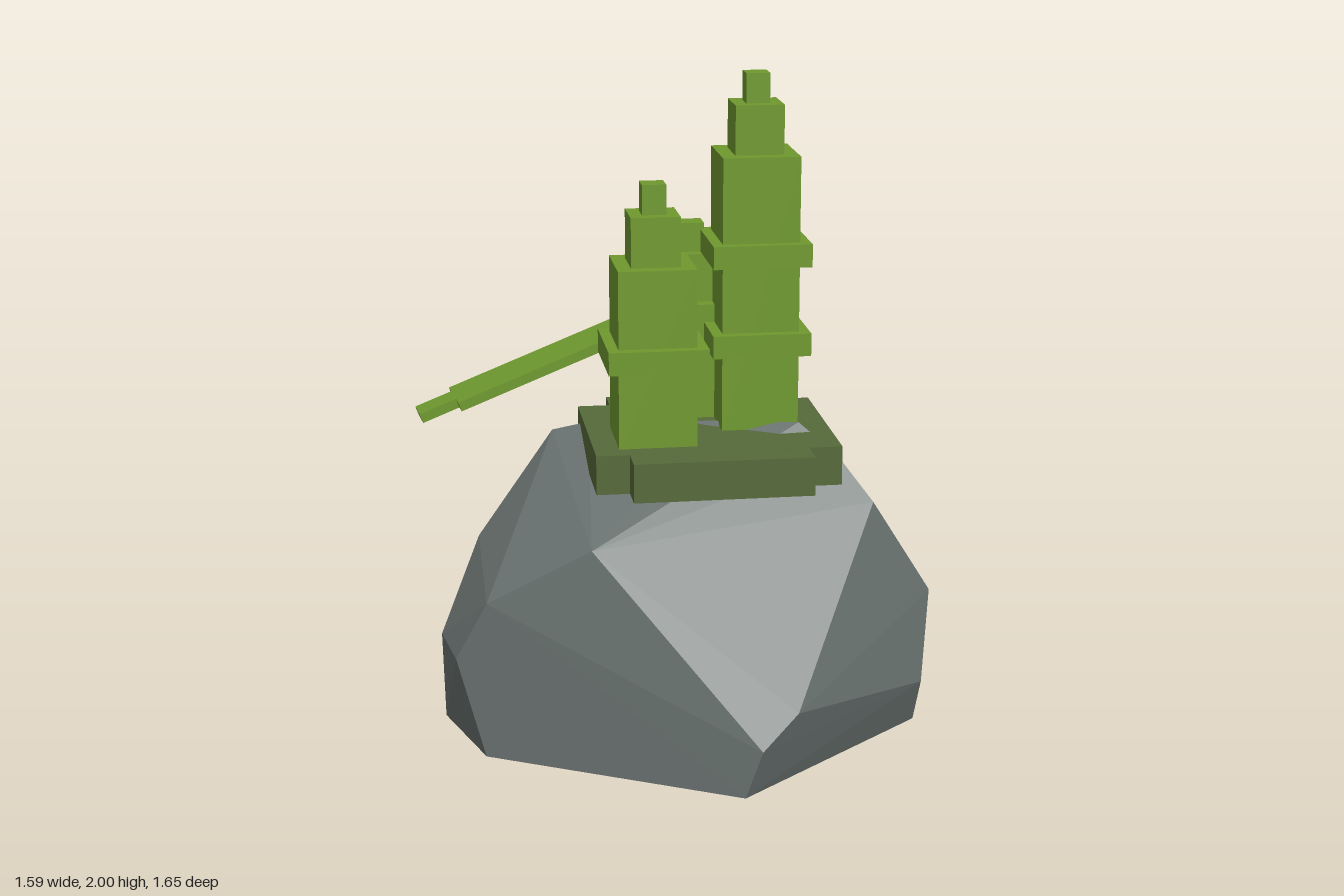
import * as THREE from 'three';
import { ConvexGeometry } from 'three/addons/geometries/ConvexGeometry.js';

const mat = (name, color) => {
  const m = new THREE.MeshStandardMaterial({ color, flatShading: true });
  m.name = name;
  return m;
};

const TURN = 0.204; // the towers and plinth share one small turn about y

export function createModel() {
  const leaf = mat('leaf green', 0x6f992e);
  const olive = mat('dark olive', 0x566a3a);
  const stone = mat('stone grey', 0x6a7371);
  const model = new THREE.Group();
  model.name = 'rockWithTowers';

  const box = (parent, name, material, size, pos) => {
    const mesh = new THREE.Mesh(new THREE.BoxGeometry(...size), material);
    mesh.name = name;
    mesh.position.set(...pos);
    parent.add(mesh);
    return mesh;
  };

  // Boulder: convex hull of its corners
  const corners = [
    // base outline
    [0.25, 0, 0.81], [-0.54, 0, 0.57], [-0.71, 0, 0.27], [-0.62, 0, -0.05],
    [-0.24, 0, -0.48], [-0.05, 0, -0.5], [0.58, 0, -0.22], [0.75, 0, 0.1], [0.75, 0, 0.2],
    // lower ring
    [0.3, 0.15, 0.82], [0.4, 0.24, 0.74], [0.77, 0.15, 0.26], [0.79, 0.42, 0.17],
    [0.79, 0.31, 0], [0.77, 0.19, -0.04], [0.68, 0.19, -0.21], [0.54, 0.38, -0.34],
    [-0.07, 0.3, -0.5], [-0.2, 0.33, -0.495], [-0.53, 0.35, -0.28], [-0.65, 0.3, -0.1],
    [-0.71, 0.29, 0.18], [-0.71, 0.29, 0.31], [-0.63, 0.3, 0.54], [-0.53, 0.49, 0.57],
    // upper ring
    [-0.21, 0.68, 0.62], [0.61, 0.74, 0.29], [0.5, 0.86, 0.21], [0.36, 0.61, -0.35],
    [-0.08, 0.5, -0.45], [-0.53, 0.6, -0.21], [-0.46, 0.72, -0.19], [-0.62, 0.54, 0.1],
    // summit
    [0.38, 0.945, 0.15], [0.12, 0.93, 0.1], [0.33, 0.83, -0.14],
    [-0.4, 0.85, -0.04], [-0.28, 0.89, 0.0],
  ].map((c) => new THREE.Vector3(...c));
  const boulder = new THREE.Mesh(new ConvexGeometry(corners), stone);
  boulder.name = 'boulder';
  model.add(boulder);

  // Plinth: two crossed slabs
  const plinth = new THREE.Group();
  plinth.name = 'plinth';
  plinth.position.set(0.097, 0.86, 0.123);
  plinth.rotation.y = TURN;
  box(plinth, 'wideSlab', olive, [0.74, 0.12, 0.54], [0, 0, 0]);
  box(plinth, 'deepSlab', olive, [0.54, 0.119, 0.73], [0, 0, 0]);
  model.add(plinth);

  // Stepped tower with optional bands
  const tower = (name, x, z, top, bands) => {
    const g = new THREE.Group();
    g.name = name;
    g.position.set(x, 0, z);
    g.rotation.y = TURN;
    [[0.235, 0.9, top], [0.148, top, top + 0.15], [0.072, top + 0.15, top + 0.24]]
      .forEach(([w, y0, y1], i) =>
        box(g, ['shaft', 'upperTier', 'tip'][i], leaf, [w, y1 - y0, w], [0, (y0 + y1) / 2, 0]));
    bands.forEach((y) => box(g, 'band', leaf, [0.3, 0.07, 0.3], [0, y, 0]));
    model.add(g);
  };
  tower('tallTower', 0.238, 0.035, 1.76, [1.19, 1.465]);
  tower('middleTower', -0.058, 0.25, 1.46, [1.19]);
  tower('shortTower', 0.035, -0.08, 1.28, []);

  // Sloping plank held off a tower by a short peg; it runs along the heading
  const plank = (name, x, y, z, dx, dz) => {
    const g = new THREE.Group();
    g.name = name;
    g.position.set(x, y, z);
    g.rotation.y = Math.atan2(dx, dz);
    box(g, 'peg', leaf, [0.06, 0.04, 0.12], [0, 0, 0.14]);
    const slope = new THREE.Group();
    slope.name = 'slopingPlank';
    slope.position.z = 0.18;
    slope.rotation.x = 0.35;
    box(slope, 'board', leaf, [0.178, 0.03, 0.605], [0, 0, 0.3025]);
    box(slope, 'boardEnd', leaf, [0.09, 0.03, 0.12], [0, 0, 0.665]);
    g.add(slope);
    model.add(g);
  };
  plank('tallTowerPlank', 0.238, 1.495, 0.035, -0.02, -1);
  plank('middleTowerPlank', -0.058, 1.325, 0.25, 0.09, -1);
  plank('shortTowerPlank', 0.035, 1.205, -0.085, -0.945, 0.31);

  return model;
}
